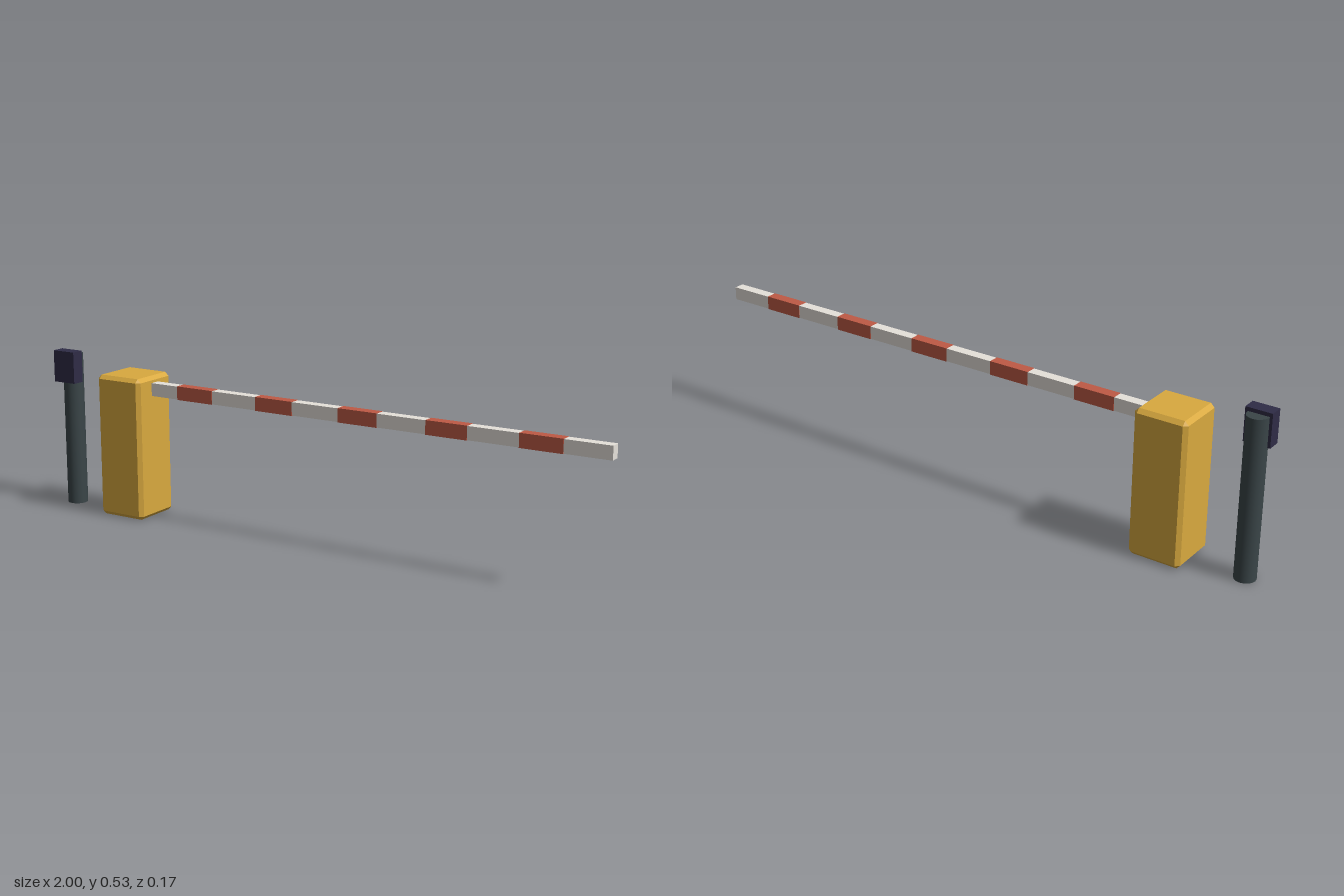
import * as THREE from 'three';
import { ConvexGeometry } from 'three/addons/geometries/ConvexGeometry.js';

const material = (color, flatShading = false) => new THREE.MeshStandardMaterial({ color, flatShading });

// Box with every edge cut by a flat chamfer
function chamferedBox(w, h, d, c) {
  const points = [];
  const half = [w / 2, h / 2, d / 2];
  for (const sx of [-1, 1]) for (const sy of [-1, 1]) for (const sz of [-1, 1]) {
    for (let axis = 0; axis < 3; axis++) {
      const p = [sx, sy, sz].map((s, i) => s * (half[i] - (i === axis ? 0 : c)));
      points.push(new THREE.Vector3(...p));
    }
  }
  return new ConvexGeometry(points);
}

export function createModel() {
  const group = new THREE.Group();
  group.name = 'parkingBarrier';

  const add = (name, geometry, mat, x, y, z, parent = group) => {
    const mesh = new THREE.Mesh(geometry, mat);
    mesh.name = name;
    mesh.position.set(x, y, z);
    parent.add(mesh);
    return mesh;
  };

  // Motor cabinet
  add('cabinet', chamferedBox(0.174, 0.477, 0.174, 0.0125), material(0xd9a93f, true), -0.699, 0.2405, 0);

  // Boom arm, starting inside the cabinet
  const boom = new THREE.Group();
  boom.name = 'boom';
  group.add(boom);
  add('boomArm', new THREE.BoxGeometry(1.63, 0.043, 0.034), material(0xe6e1da), 0.185, 0.436, 0, boom);

  // Red bands, slightly proud of the arm
  const bandGeometry = new THREE.BoxGeometry(0.138, 0.045, 0.0365);
  const bandMaterial = material(0xbf5a45);
  for (let i = 0; i < 5; i++) {
    add('boomBand' + (i + 1), bandGeometry, bandMaterial, -0.438 + i * 0.305, 0.436, 0, boom);
  }

  // Card reader post and reader box
  add('readerPost', new THREE.CylinderGeometry(0.034, 0.034, 0.522, 16), material(0x3a4548), -0.958, 0.261, 0);
  add('readerBox', new THREE.BoxGeometry(0.085, 0.107, 0.044), material(0x2f2c46), -0.9575, 0.4805, 0.027);

  return group;
}
